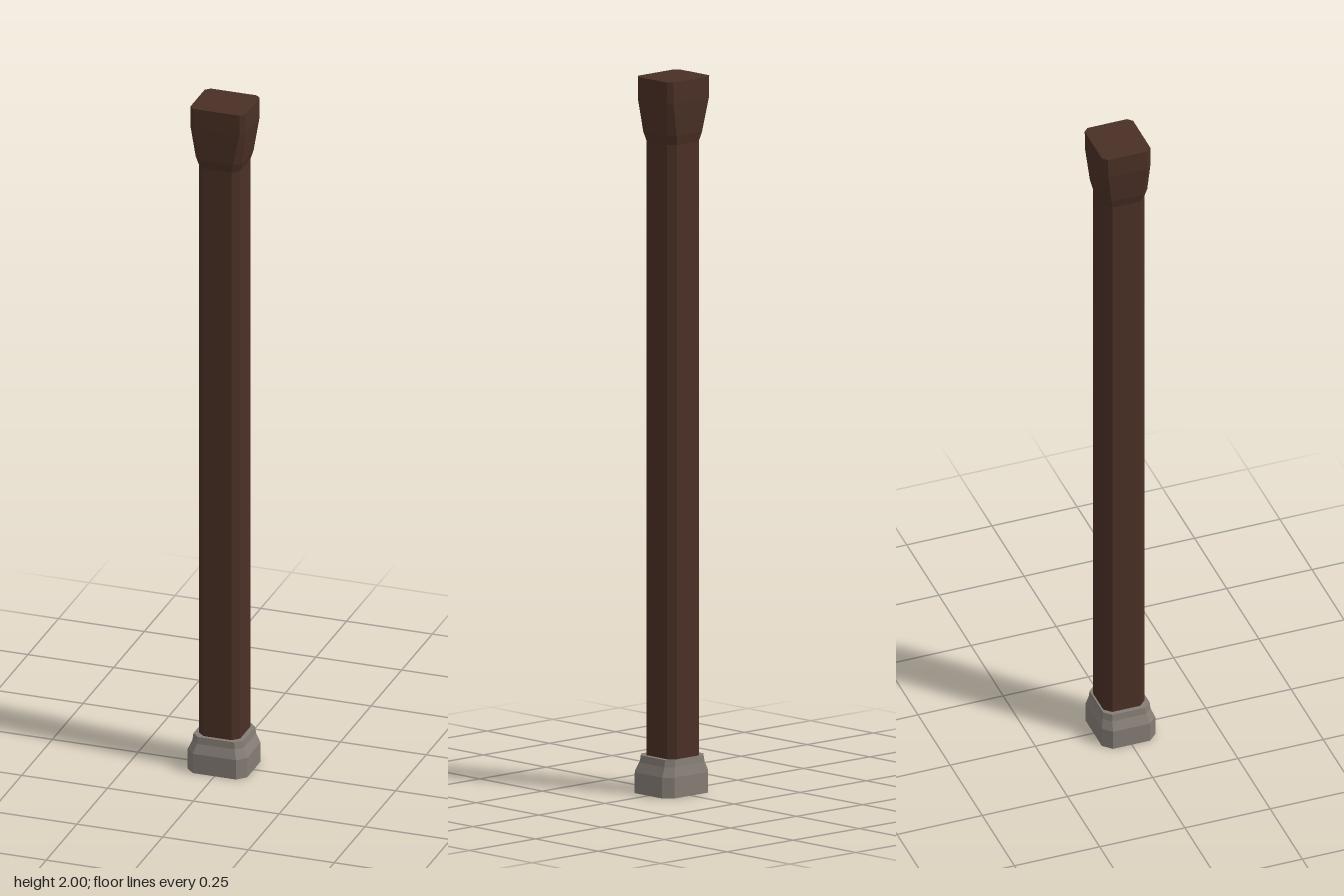
import * as THREE from 'three';

const wood = new THREE.MeshStandardMaterial({ color: 0x4a3025 });
wood.name = 'dark wood';
const stone = new THREE.MeshStandardMaterial({ color: 0x857d75 });
stone.name = 'grey stone';

// Eight corners of a chamfered rectangle at one height
function ring({ y, x, front, back, cut }) {
  return [
    [x - cut, front], [x, front - cut], [x, back + cut], [x - cut, back],
    [cut - x, back], [-x, back + cut], [-x, front - cut], [cut - x, front],
  ].map(([px, pz]) => [px, y, pz]);
}

// Closed, flat-faced solid through sections listed from bottom to top
function loft(name, material, sections) {
  const rings = sections.map(ring);
  const pos = [];
  const tri = (a, b, c) => pos.push(...a, ...b, ...c);
  for (let k = 0; k < rings.length - 1; k++) {
    const lo = rings[k], hi = rings[k + 1];
    for (let i = 0; i < 8; i++) {
      const j = (i + 1) % 8;
      tri(lo[i], lo[j], hi[j]);
      tri(lo[i], hi[j], hi[i]);
    }
  }
  const bottom = rings[0], top = rings[rings.length - 1];
  for (let i = 1; i < 7; i++) {
    tri(bottom[0], bottom[i + 1], bottom[i]);
    tri(top[0], top[i], top[i + 1]);
  }
  const geometry = new THREE.BufferGeometry();
  geometry.setAttribute('position', new THREE.Float32BufferAttribute(pos, 3));
  geometry.computeVertexNormals();
  const mesh = new THREE.Mesh(geometry, material);
  mesh.name = name;
  return mesh;
}

export function createModel() {
  const post = new THREE.Group();
  post.name = 'post';

  // Stone foot with a sloped shoulder and a narrower collar
  post.add(loft('stoneBase', stone, [
    { y: 0, x: 0.087, front: 0.078, back: -0.079, cut: 0.024 },
    { y: 0.058, x: 0.087, front: 0.078, back: -0.079, cut: 0.024 },
    { y: 0.085, x: 0.075, front: 0.067, back: -0.073, cut: 0.02 },
    { y: 0.105, x: 0.073, front: 0.065, back: -0.071, cut: 0.02 },
  ]));

  // Long chamfered shaft
  post.add(loft('shaft', wood, [
    { y: 0.09, x: 0.06, front: 0.054, back: -0.066, cut: 0.019 },
    { y: 1.83, x: 0.06, front: 0.054, back: -0.066, cut: 0.019 },
  ]));

  // Flared capital
  post.add(loft('capital', wood, [
    { y: 1.82, x: 0.06, front: 0.054, back: -0.066, cut: 0.019 },
    { y: 1.847, x: 0.068, front: 0.06, back: -0.072, cut: 0.02 },
    { y: 1.94, x: 0.08, front: 0.062, back: -0.079, cut: 0.013 },
    { y: 2, x: 0.08, front: 0.062, back: -0.08, cut: 0.013 },
  ]));

  return post;
}
